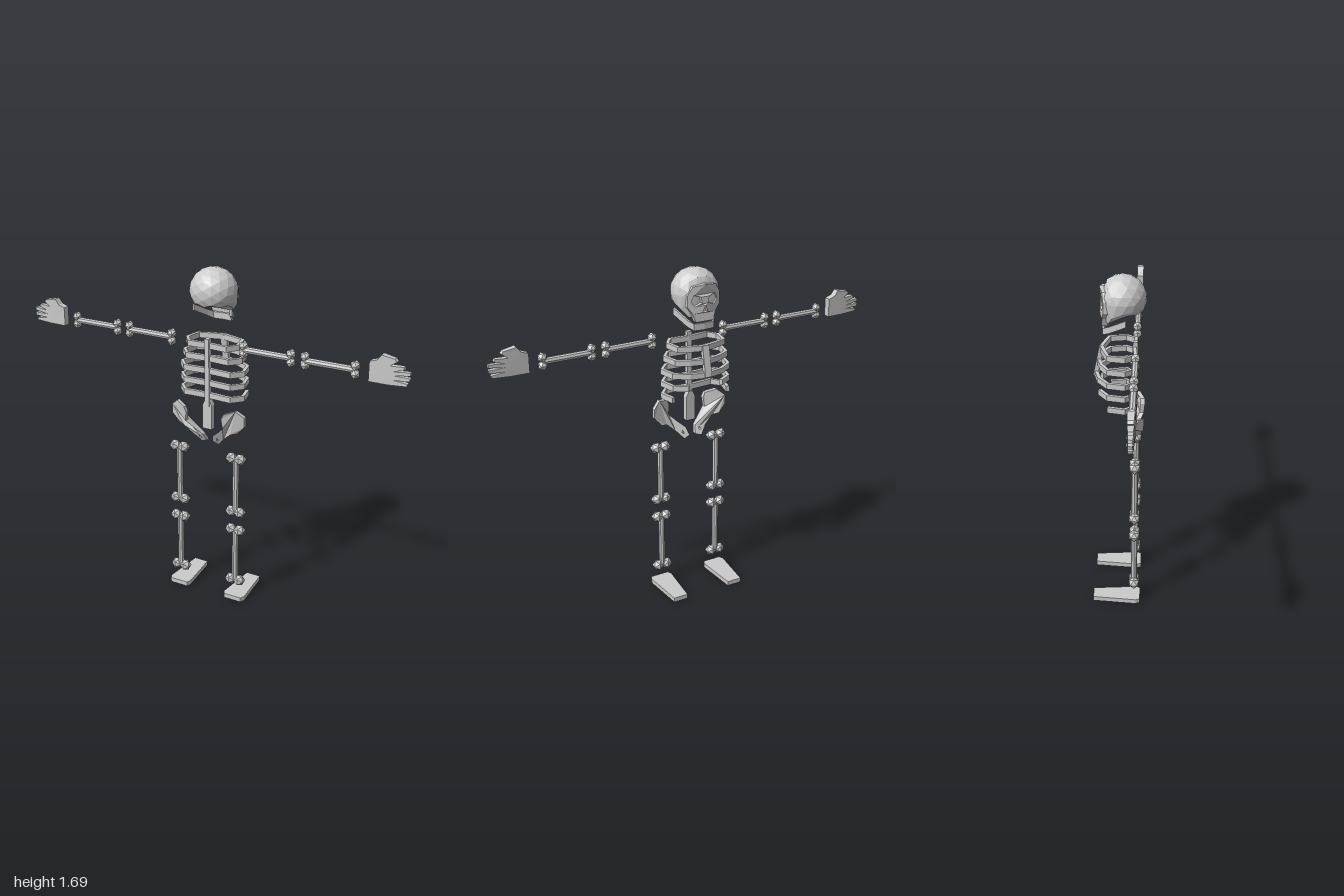
import * as THREE from 'three';

const mat = new THREE.MeshStandardMaterial({ color: 0xcccccc, flatShading: true, side: THREE.DoubleSide });
const BONE_Z = 0.08;

function mesh(geo, name) {
  const g = geo.index ? geo.toNonIndexed() : geo;
  g.computeVertexNormals();
  const m = new THREE.Mesh(g, mat);
  m.name = name;
  return m;
}

// Moves every vertex by a rule
function warp(geo, rule) {
  const p = geo.attributes.position, v = new THREE.Vector3();
  for (let i = 0; i < p.count; i++) {
    rule(v.fromBufferAttribute(p, i));
    p.setXYZ(i, v.x, v.y, v.z);
  }
  return geo;
}

const toShape = (pts, s = 1) => new THREE.Shape(pts.map(([x, y]) => new THREE.Vector2(x * s, y)));
const toHole = (pts, s = 1) => new THREE.Path(pts.map(([x, y]) => new THREE.Vector2(x * s, y)));
const plate = (shape, depth) => new THREE.ExtrudeGeometry(shape, { depth, bevelEnabled: false, curveSegments: 3 });

// Upright rectangular band following a path of [x, y, z] points
function band(path, height, thick) {
  const pos = [], idx = [], n = path.length;
  path.forEach(([x, y, z], i) => {
    const a = path[Math.max(i - 1, 0)], b = path[Math.min(i + 1, n - 1)];
    const d = new THREE.Vector2(b[2] - a[2], a[0] - b[0]).normalize().multiplyScalar(thick / 2);
    for (const [k, h] of [[-1, -1], [1, -1], [1, 1], [-1, 1]])
      pos.push(x + k * d.x, y + h * height / 2, z + k * d.y);
  });
  for (let i = 0; i < n - 1; i++)
    for (let k = 0; k < 4; k++) {
      const a = i * 4 + k, b = i * 4 + (k + 1) % 4;
      idx.push(a, a + 4, b, b, a + 4, b + 4);
    }
  const e = (n - 1) * 4;
  idx.push(0, 1, 2, 0, 2, 3, e, e + 2, e + 1, e, e + 3, e + 2);
  const g = new THREE.BufferGeometry();
  g.setAttribute('position', new THREE.Float32BufferAttribute(pos, 3));
  g.setIndex(idx);
  return g;
}

// Mirrors a half path that starts on the back centre into a full one
const mirrored = half => [...half.slice(1).reverse().map(([x, y, z]) => [-x, y, z]), ...half];

// Limb bone: shaft with two knobs at each end, built upright around its centre
function longBone(name, length, knobGap, knobR) {
  const g = new THREE.Group();
  g.name = name;
  g.add(mesh(new THREE.CylinderGeometry(0.016, 0.016, length, 8), 'shaft'));
  for (const end of [-1, 1])
    for (const side of [-1, 1]) {
      const knob = mesh(new THREE.IcosahedronGeometry(knobR, 0), 'knob');
      knob.position.set(side * knobGap, end * length / 2, 0);
      g.add(knob);
    }
  return g;
}

function skull() {
  const g = new THREE.Group();
  g.name = 'skull';
  // Cranium: faceted ball with flat face and an underside sloping down to the upper jaw
  const ball = warp(new THREE.IcosahedronGeometry(1, 2), v => {
    v.set(v.x * 0.116, 1.583 + v.y * 0.113, 0.015 + v.z * 0.113);
    v.z = Math.max(v.z, -0.07);
    const f = Math.max(0, 0.02 - v.z);
    if (v.y < 1.56) v.y -= f * 0.55;
    v.y = Math.max(v.y, 1.525 - f * 0.65);
  });
  g.add(mesh(ball, 'cranium'));
  // Face plate with eye sockets and nose opening
  const face = toShape([[-0.045, 1.46], [0.045, 1.46], [0.06, 1.5], [0.085, 1.535], [0.085, 1.59],
    [0.06, 1.63], [0, 1.64], [-0.06, 1.63], [-0.085, 1.59], [-0.085, 1.535], [-0.06, 1.5]]);
  for (const s of [-1, 1])
    face.holes.push(toHole([[0.016, 1.55], [0.05, 1.535], [0.068, 1.56], [0.055, 1.59], [0.022, 1.58]], s));
  face.holes.push(toHole([[-0.015, 1.505], [0.015, 1.505], [0, 1.54]]));
  const faceGeo = plate(face, 0.03).translate(0, 0, -0.094);
  g.add(mesh(warp(faceGeo, v => { v.z += Math.abs(v.x) * 0.25; }), 'face'));
  // Lower jaw
  const jaw = [[0, 1.435, -0.077], [0.05, 1.435, -0.072], [0.068, 1.45, -0.045], [0.1, 1.493, 0.034]];
  g.add(mesh(band(mirrored(jaw), 0.032, 0.012), 'lowerJaw'));
  return g;
}

function torso() {
  const g = new THREE.Group();
  g.name = 'torso';
  const spine = mesh(new THREE.BoxGeometry(0.024, 0.34, 0.025), 'spine');
  spine.position.set(0, 1.195, 0.075);
  g.add(spine);
  const sacrum = toShape([[-0.025, 0.907], [0.025, 0.907], [0.025, 1.03], [0.01, 1.06], [-0.01, 1.06], [-0.025, 1.03]]);
  g.add(mesh(plate(sacrum, 0.03).translate(0, 0, 0.053), 'sacrum'));

  // Ribs: [height, half width, front z, joined at the breastbone]
  const ribs = [[1.33, 0.14, -0.085, 1], [1.267, 0.157, -0.1, 1], [1.204, 0.172, -0.112, 1],
    [1.142, 0.172, -0.09, 0], [1.08, 0.172, -0.055, 0]];
  for (const [y, w, f, joined] of ribs) {
    const half = [[0, y, 0.07], [w * 0.72, y, 0.078], [w * 0.97, y, 0.03]];
    if (joined) half.push([w * 0.86, y, -0.05], [w * 0.48, y, f + 0.018], [0, y, f]);
    else half.push([w * 0.86, y, Math.max(f, -0.05)]);
    if (f === -0.09) half.push([w * 0.5, y, f]);
    g.add(mesh(band(mirrored(half), 0.028, 0.018), 'rib'));
  }
  const sternum = mesh(new THREE.BoxGeometry(0.035, 0.15, 0.022), 'breastbone');
  sternum.position.set(0, 1.267, -0.1);
  sternum.rotation.x = 0.2;
  g.add(sternum);

  // Hip blades, turned outward and curling to the front at the bottom
  const hip = [[0.107, 1.015], [0.16, 1.032], [0.198, 1.0], [0.198, 0.952], [0.16, 0.91], [0.128, 0.903],
    [0.085, 0.865], [0.048, 0.823], [0.016, 0.834], [0.027, 0.872], [0.065, 0.905], [0.102, 0.941], [0.096, 0.99]];
  for (const s of [-1, 1]) {
    const shape = toShape(hip, s);
    shape.holes.push(toHole([[0.042, 0.845], [0.055, 0.85], [0.047, 0.862]], s));
    g.add(mesh(warp(plate(shape, 0.022), v => {
      v.z += 0.1 - 0.5 * Math.max(0, Math.abs(v.x) - 0.11) - 0.55 * Math.max(0, 0.95 - v.y);
    }), 'hipBone'));
  }
  return g;
}

function limbs(s) {
  const g = new THREE.Group();
  g.name = s > 0 ? 'leftLimbs' : 'rightLimbs';
  for (const [name, x] of [['upperArm', 0.313], ['forearm', 0.623]]) {
    const b = longBone(name, 0.24, 0.019, 0.025);
    b.rotation.z = Math.PI / 2;
    b.position.set(s * x, 1.344, BONE_Z);
    g.add(b);
  }
  for (const [name, y] of [['thigh', 0.638], ['shin', 0.25]]) {
    const b = longBone(name, 0.288, 0.024, 0.03);
    b.position.set(s * 0.158, y, BONE_Z);
    g.add(b);
  }
  // Hand with thumb on top, thinning toward the fingertips
  const hand = [[0.812, 1.307], [0.9, 1.307], [0.985, 1.311], [0.988, 1.323], [0.92, 1.332], [0.995, 1.335],
    [0.998, 1.35], [0.92, 1.352], [0.998, 1.362], [0.995, 1.377], [0.92, 1.37], [0.97, 1.385],
    [0.965, 1.397], [0.905, 1.394], [0.935, 1.415], [0.925, 1.427], [0.865, 1.438], [0.845, 1.412], [0.812, 1.4]];
  const handGeo = warp(plate(toShape(hand, s), 1), v => {
    v.z = BONE_Z + (v.z - 0.5) * (0.034 - 0.1 * Math.max(0, Math.abs(v.x) - 0.86));
  });
  g.add(mesh(handGeo, 'hand'));
  // Foot slab
  const foot = [[0.12, -0.127], [0.196, -0.127], [0.216, 0.09], [0.205, 0.111], [0.11, 0.111], [0.1, 0.09]];
  const footGeo = plate(toShape(foot, s), 0.024).rotateX(Math.PI / 2).translate(0, 0.024, 0);
  g.add(mesh(footGeo, 'foot'));
  return g;
}

export function createModel() {
  const model = new THREE.Group();
  model.name = 'skeleton';
  model.add(skull(), torso(), limbs(1), limbs(-1));
  return model;
}
